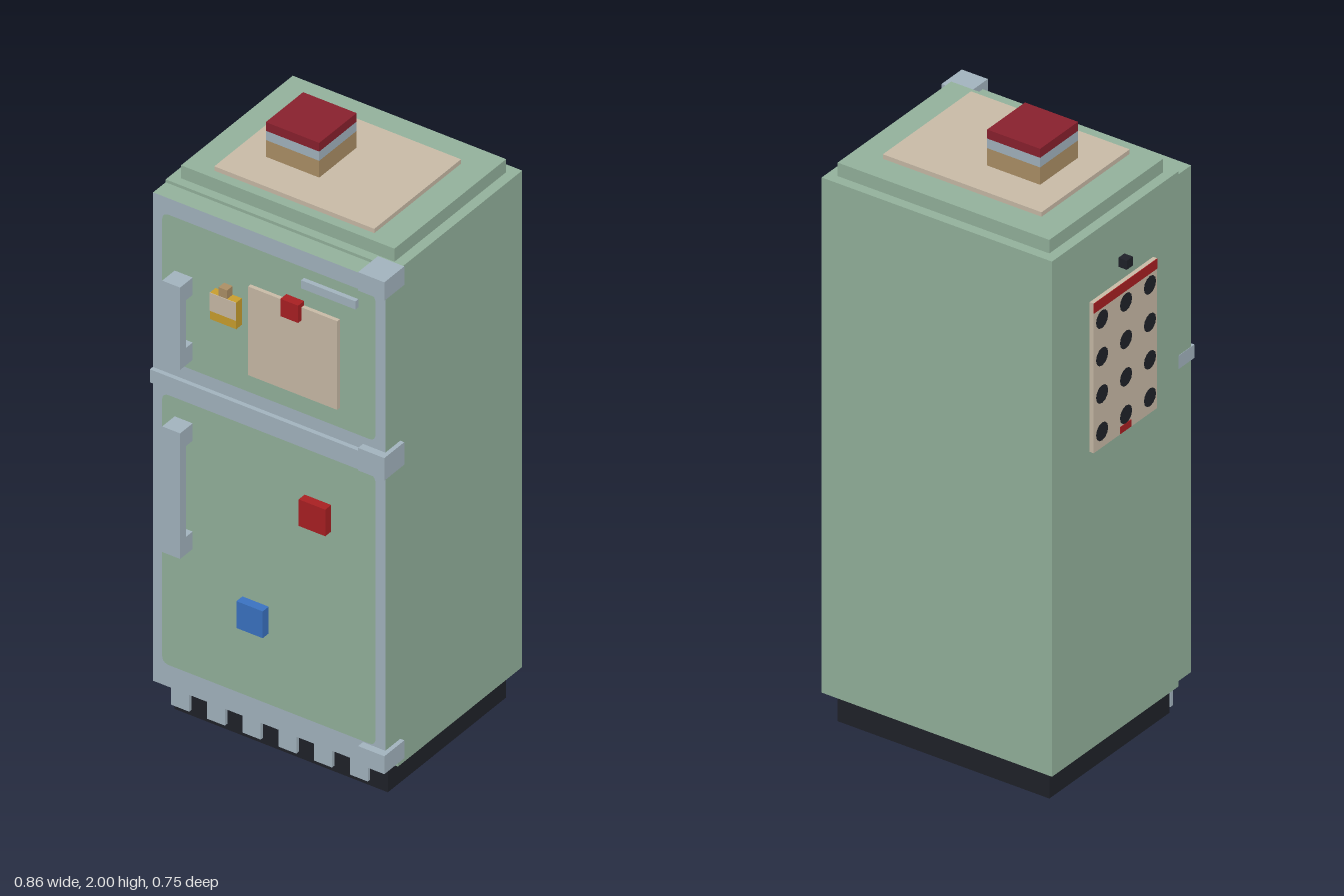
import * as THREE from 'three';

const mat = (name, color, side = THREE.FrontSide) => {
  const m = new THREE.MeshStandardMaterial({ color, side });
  m.name = name;
  return m;
};

export function createModel() {
  const green = mat('sage green', 0x95b49e);
  const steel = mat('blue grey steel', 0xa5b6c1);
  const black = mat('near black', 0x20222a);
  const beige = mat('beige paper', 0xcbbda9);
  const tan = mat('tan', 0xae9167);
  const red = mat('red', 0xab2023);
  const maroon = mat('dark red', 0x8b212e);
  const blue = mat('blue', 0x3b74c4);
  const gold = mat('gold', 0xcba02e);

  const model = new THREE.Group();
  model.name = 'refrigerator';

  // Box given by its limits on each axis
  const box = (name, material, [x0, x1], [y0, y1], [z0, z1], parent = model) => {
    const mesh = new THREE.Mesh(new THREE.BoxGeometry(x1 - x0, y1 - y0, z1 - z0), material);
    mesh.position.set((x0 + x1) / 2, (y0 + y1) / 2, (z0 + z1) / 2);
    mesh.name = name;
    parent.add(mesh);
    return mesh;
  };

  // Flat rounded panel facing the front
  const roundedPanel = (name, material, [x0, x1], [y0, y1], z, r, parent) => {
    const s = new THREE.Shape();
    s.moveTo(x0 + r, y0);
    s.lineTo(x1 - r, y0);
    s.quadraticCurveTo(x1, y0, x1, y0 + r);
    s.lineTo(x1, y1 - r);
    s.quadraticCurveTo(x1, y1, x1 - r, y1);
    s.lineTo(x0 + r, y1);
    s.quadraticCurveTo(x0, y1, x0, y1 - r);
    s.lineTo(x0, y0 + r);
    s.quadraticCurveTo(x0, y0, x0 + r, y0);
    const mesh = new THREE.Mesh(new THREE.ShapeGeometry(s, 5), material);
    mesh.position.z = z;
    mesh.name = name;
    parent.add(mesh);
  };

  // Cabinet, raised lid and plinth
  const width = [-0.4, 0.413];
  const inner = [-0.367, 0.38];
  box('cabinet', green, width, [0.1, 1.82], [-0.376, 0.247]);
  box('lid', green, inner, [1.82, 1.865], [-0.343, 0.217]);
  box('plinth', black, inner, [0, 0.1], [-0.343, 0.25]);
  for (let i = 0; i < 6; i++) {
    const x = -0.37 + i * 0.125;
    box('grilleSlat', steel, [x, x + 0.063], [0.02, 0.1], [0.25, 0.262]);
  }

  // Doors: green slab, steel front face, green inset panel, handle
  const doors = [
    { name: 'freezerDoor', y: [1.2, 1.81], panel: [1.25, 1.755], handle: [1.285, 1.57] },
    { name: 'fridgeDoor', y: [0.118, 1.16], panel: [0.195, 1.13], handle: [0.63, 1.065] },
  ];
  for (const d of doors) {
    const door = new THREE.Group();
    door.name = d.name;
    model.add(door);
    box('doorSlab', [green, green, green, green, steel, green], width, d.y, [0.247, 0.31], door);
    roundedPanel('doorPanel', green, inner, d.panel, 0.312, 0.025, door);
    const hx = [-0.323, -0.26];
    const [h0, h1] = d.handle;
    box('handleGrip', steel, hx, d.handle, [0.345, 0.375], door);
    box('handleFoot', steel, hx, [h0, h0 + 0.06], [0.31, 0.345], door);
    box('handleFoot', steel, hx, [h1 - 0.06, h1], [0.31, 0.345], door);
  }
  box('dividerBar', steel, [-0.401, 0.414], [1.16, 1.205], [0.247, 0.325]);

  // Hinges along the right-hand edge of the front
  for (const y of [[1.768, 1.832], [1.145, 1.223], [0.128, 0.19]]) {
    box('hinge', steel, [0.335, 0.427], y, [0.235, 0.335]);
  }

  // Things fixed to the doors
  box('trimStrip', steel, [0.13, 0.32], [1.692, 1.72], [0.31, 0.327]);
  box('note', beige, [-0.057, 0.255], [1.318, 1.625], [0.31, 0.325]);
  box('noteMagnet', red, [0.068, 0.13], [1.58, 1.64], [0.31, 0.342]);
  box('redMagnet', red, [0.132, 0.225], [0.878, 0.97], [0.31, 0.342]);
  box('blueMagnet', blue, [-0.086, 0.006], [0.44, 0.533], [0.31, 0.342]);
  box('bottleMagnet', gold, [-0.18, -0.088], [1.473, 1.565], [0.31, 0.34]);
  box('bottleLabel', beige, [-0.18, -0.088], [1.503, 1.565], [0.34, 0.342]);
  box('bottleNeck', tan, [-0.15, -0.12], [1.565, 1.595], [0.31, 0.34]);

  // Cloth and stack on top
  box('cloth', beige, [-0.273, 0.287], [1.865, 1.88], [-0.25, 0.185]);
  const stack = [['stackBase', tan, 1.88, 1.938], ['stackBand', steel, 1.938, 1.97], ['stackTop', maroon, 1.97, 2]];
  for (const [name, material, y0, y1] of stack) {
    box(name, material, [-0.18, 0.007], [y0, y1], [-0.127, 0.06]);
  }

  // Wall calendar on the side, with header, day dots and pin
  const calendar = new THREE.Group();
  calendar.name = 'calendar';
  model.add(calendar);
  box('calendarSheet', beige, [-0.414, -0.4], [1.095, 1.595], [-0.19, 0.123], calendar);
  box('calendarHeader', red, [-0.416, -0.414], [1.562, 1.595], [-0.19, 0.123], calendar);
  box('calendarMark', red, [-0.416, -0.414], [1.097, 1.12], [-0.06, -0.007], calendar);
  const dot = new THREE.CircleGeometry(0.03, 12);
  for (let row = 0; row < 4; row++) {
    for (let col = -1; col <= 1; col++) {
      const mesh = new THREE.Mesh(dot, black);
      mesh.name = 'calendarDot';
      mesh.rotation.y = -Math.PI / 2;
      mesh.position.set(-0.416, 1.525 - row * 0.125, -0.033 + col * 0.118);
      calendar.add(mesh);
    }
  }
  box('calendarPin', black, [-0.43, -0.4], [1.645, 1.675], [-0.049, -0.019], calendar);

  return model;
}
